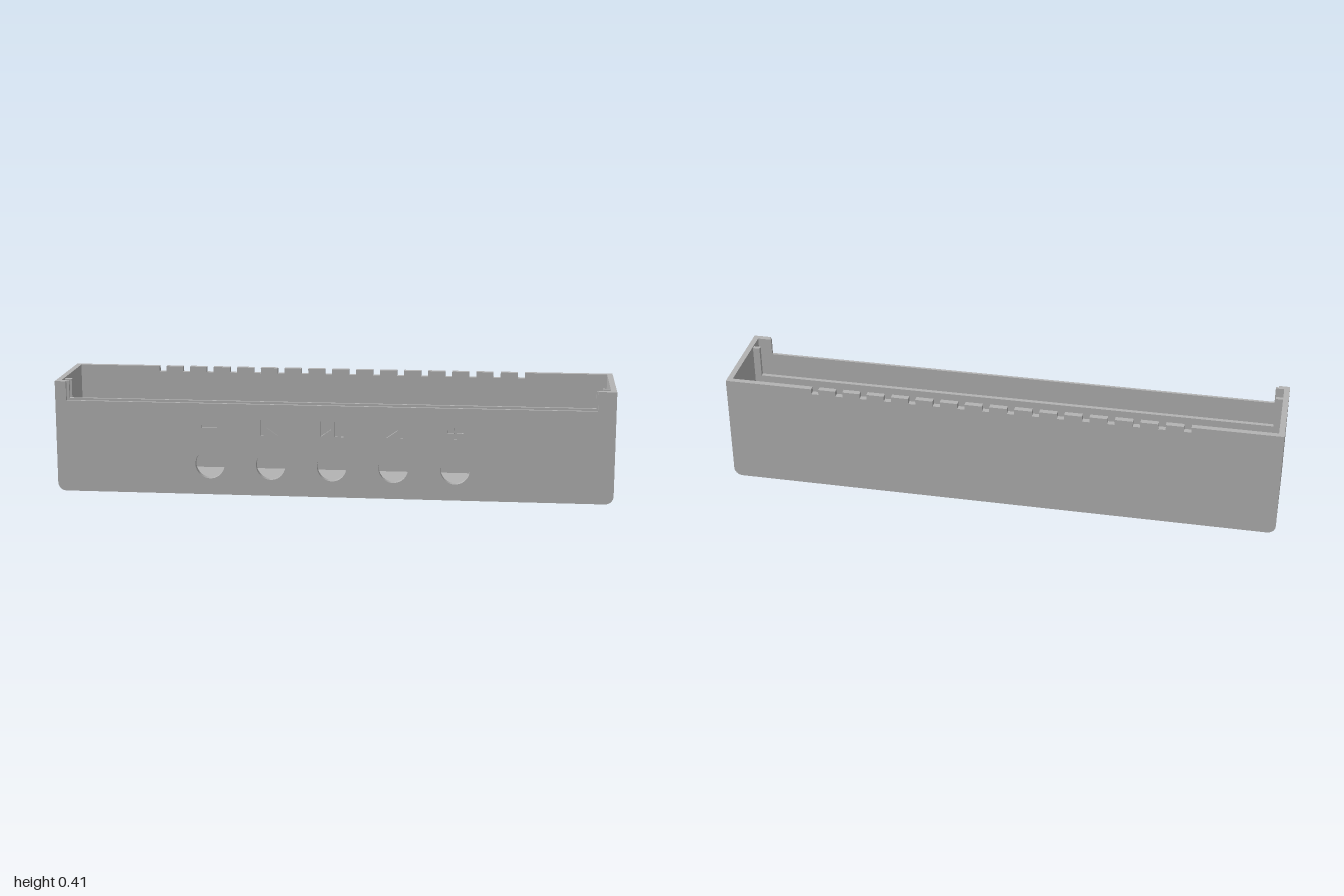
import * as THREE from 'three';
import { toCreasedNormals } from 'three/addons/utils/BufferGeometryUtils.js';

const H = 0.405, D = 0.17, T = 0.02;
const IX = 1 - T, IZ = D - T; // inner faces of the walls

const poly = (pts) => pts.map(([x, y]) => new THREE.Vector2(x, y));
const rect = (x0, y0, x1, y1) => poly([[x0, y0], [x1, y0], [x1, y1], [x0, y1]]);
const hole = (pts) => new THREE.Path(pts);

function disc(x, y, r) {
  return new THREE.Path().absarc(x, y, r, 0, Math.PI * 2, true);
}

// Extrude a shape along z from z0 to z1
function slab(shape, z0, z1) {
  const g = new THREE.ExtrudeGeometry(shape, { depth: z1 - z0, bevelEnabled: false, curveSegments: 20 });
  g.translate(0, 0, z0);
  return toCreasedNormals(g, 0.6);
}

export function createModel() {
  const grey = new THREE.MeshStandardMaterial({ color: 0xb3b3b3 });
  grey.name = 'grey plastic';
  const model = new THREE.Group();
  model.name = 'enclosure';
  const add = (name, geometry) => {
    const mesh = new THREE.Mesh(geometry, grey);
    mesh.name = name;
    model.add(mesh);
    return mesh;
  };
  const box = (name, x0, y0, z0, x1, y1, z1) => {
    const g = new THREE.BoxGeometry(x1 - x0, y1 - y0, z1 - z0);
    g.translate((x0 + x1) / 2, (y0 + y1) / 2, (z0 + z1) / 2);
    return add(name, g);
  };

  // End walls with a rounded lower edge, and the upright ribs inside them
  for (const s of [-1, 1]) {
    const pts = [[0.97, T], [0.97, 0]];
    for (let i = 1; i <= 8; i++) {
      const a = (i / 8) * Math.PI / 2;
      pts.push([0.97 + 0.03 * Math.sin(a), 0.03 - 0.03 * Math.cos(a)]);
    }
    pts.push([1, H], [IX, H], [IX, T]);
    const side = s > 0 ? 'left' : 'right';
    add(side + 'EndWall', slab(new THREE.Shape(poly(pts.map(([x, y]) => [s * x, y]))), -D, D));
    const xs = [s * 0.955, s * IX].sort((a, b) => a - b);
    box(side + 'Rib', xs[0], T, 0.085, xs[1], H - 0.005, 0.1);
  }

  // Floor with a rounded cable slot and four vents (shape y is -z)
  const floor = new THREE.Shape(rect(-0.97, -IZ, 0.97, IZ));
  const slot = new THREE.Path();
  slot.absarc(-0.708, 0.0675, 0.0675, -Math.PI / 2, Math.PI / 2, false);
  slot.absarc(-0.862, 0.0675, 0.0675, Math.PI / 2, Math.PI * 1.5, false);
  slot.closePath();
  floor.holes.push(slot);
  for (let i = 0; i < 4; i++) {
    const x = 0.705 + 0.06 * i;
    floor.holes.push(hole(rect(x - 0.0135, -0.06, x + 0.0135, 0.112)));
  }
  add('floor', slab(floor, 0, T).rotateX(-Math.PI / 2));

  // Back wall with sixteen notches along its top edge
  const back = [[-IX, H], [-IX, T], [-0.97, 0], [0.97, 0], [IX, T], [IX, H]];
  for (let i = 15; i >= 0; i--) {
    const x = -0.668 + 0.0891 * i;
    back.push([x + 0.013, H], [x + 0.013, H - 0.02], [x - 0.013, H - 0.02], [x - 0.013, H]);
  }
  add('backWall', slab(new THREE.Shape(poly(back)), -D, -IZ));

  // Front wall in two layers, lowered along the middle with a stepped lip
  const front = (x0, x1, y) => {
    const s = new THREE.Shape(poly([[-IX, H], [-IX, T], [-0.97, 0], [0.97, 0], [IX, T], [IX, H],
      [x1, H], [x1, y], [x0, y], [x0, H]]));
    for (let i = -2; i <= 2; i++) s.holes.push(disc(i * 0.22, 0.112, 0.053));
    return s;
  };
  add('frontWallInner', slab(front(-0.95, 0.93, 0.343), IZ, D - 0.01));

  // Shallow control symbols sunk into the outer layer
  const outer = front(-0.96, 0.936, 0.335);
  const y = 0.25, r = 0.028, b = 0.005;
  const bar = (x) => hole(rect(x - b, y - r, x + b, y + r));
  const arrow = (x, dir) => hole(poly([[x, y - r], [x + dir * 0.04, y], [x, y + r]]));
  outer.holes.push(
    hole(rect(-0.44 - r, y - b, -0.44 + r, y + b)),
    bar(-0.25), arrow(-0.195, -1),
    arrow(-0.04, 1), bar(0.016), bar(0.038),
    arrow(0.195, 1), bar(0.25),
    hole(poly([[-b, -r], [b, -r], [b, -b], [r, -b], [r, b], [b, b], [b, r], [-b, r], [-b, b], [-r, b],
      [-r, -b], [-b, -b]].map(([px, py]) => [0.44 + px, y + py]))),
  );
  add('frontWallOuter', slab(outer, D - 0.01, D));

  // Cross bar between the ribs, behind the front wall
  box('innerBar', -0.955, 0.2, 0.085, 0.955, 0.285, 0.1);

  return model;
}
